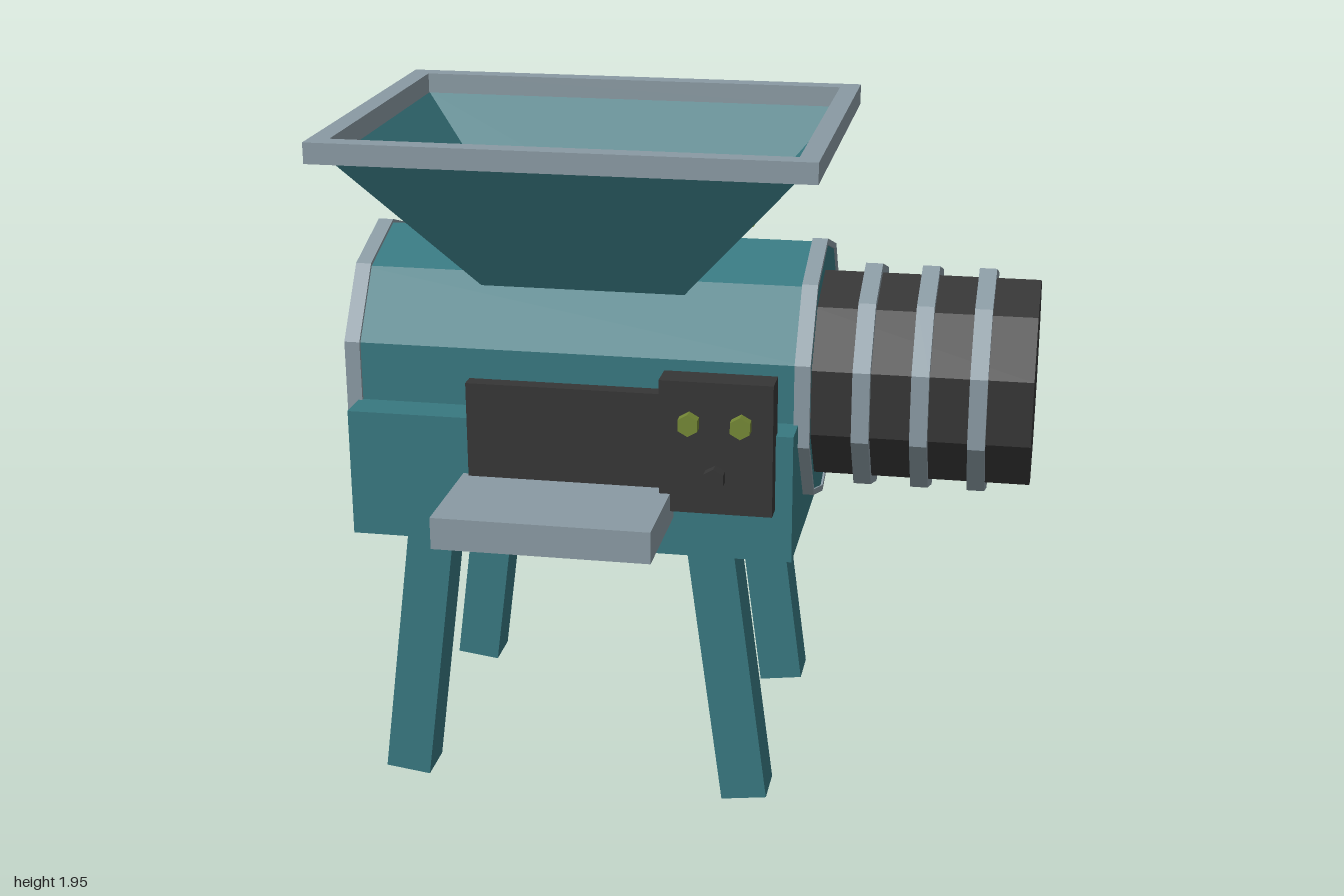
import * as THREE from 'three';

const teal = new THREE.MeshStandardMaterial({ name: 'teal paint', color: 0x387880 });
const tealSheet = new THREE.MeshStandardMaterial({ name: 'teal sheet', color: 0x387880, side: THREE.DoubleSide });
const steel = new THREE.MeshStandardMaterial({ name: 'grey steel', color: 0x8a9aa3 });
const dark = new THREE.MeshStandardMaterial({ name: 'dark metal', color: 0x363636 });
const olive = new THREE.MeshStandardMaterial({ name: 'olive', color: 0x748735 });
for (const m of [teal, tealSheet, steel, dark, olive]) m.flatShading = true;

const CX = -0.293, CZ = -0.139; // centre of hopper, drum and stand

export function createModel() {
  const model = new THREE.Group();
  const add = (name, geometry, material, x = 0, y = 0, z = 0) => {
    const mesh = new THREE.Mesh(geometry, material);
    mesh.name = name;
    mesh.position.set(x, y, z);
    model.add(mesh);
    return mesh;
  };

  // Box given by its extents on each axis
  const box = (name, material, [x0, x1], [y0, y1], [z0, z1]) =>
    add(name, new THREE.BoxGeometry(x1 - x0, y1 - y0, z1 - z0), material,
      (x0 + x1) / 2, (y0 + y1) / 2, (z0 + z1) / 2);

  // Ten-sided cylinder lying along x, with a corner at the top
  const barrel = (name, material, r, x0, x1, y) => {
    const g = new THREE.CylinderGeometry(r, r, x1 - x0, 10);
    g.rotateY(Math.PI / 2).rotateZ(Math.PI / 2);
    return add(name, g, material, (x0 + x1) / 2, y, CZ);
  };

  // Drum with a thin hoop at each end
  barrel('drum', teal, 0.382, -0.965, 0.377, 1.206);
  const decagon = r => Array.from({ length: 10 }, (_, i) => {
    const a = Math.PI / 2 + i * Math.PI / 5;
    return new THREE.Vector2(r * Math.cos(a), r * Math.sin(a));
  });
  const hoop = new THREE.Shape(decagon(0.392));
  hoop.holes.push(new THREE.Path(decagon(0.374)));
  const hoopGeometry = new THREE.ExtrudeGeometry(hoop, { depth: 0.045, bevelEnabled: false });
  hoopGeometry.rotateY(Math.PI / 2);
  for (const x of [-0.97, 0.338]) add('drumHoop', hoopGeometry, steel, x, 1.206, CZ);

  // Motor with three bands
  barrel('motor', dark, 0.31, 0.36, 1, 1.194);
  for (const x of [0.52, 0.685, 0.848]) barrel('motorBand', steel, 0.337, x - 0.025, x + 0.025, 1.194);

  // Stand: body box and four splayed legs
  box('body', teal, [-0.937, 0.351], [0.776, 1.152], [-0.612, 0.335]);
  for (const side of [-1, 1]) {
    for (const z of [0.268, -0.545]) {
      const leg = add('leg', new THREE.BoxGeometry(0.134, 0.85, 0.134), teal, CX + side * 0.459, 0.43, z);
      leg.rotation.z = side * 0.13;
    }
  }

  // Hopper: open box narrowing downwards
  const hopper = new THREE.BoxGeometry(2, 0.414, 2);
  const p = hopper.attributes.position;
  for (let i = 0; i < p.count; i++) {
    const top = p.getY(i) > 0;
    p.setX(i, p.getX(i) * (top ? 0.65 : 0.29));
    p.setZ(i, p.getZ(i) * (top ? 0.488 : 0.245));
  }
  const index = Array.from(hopper.index.array);
  hopper.setIndex([...index.slice(0, 12), ...index.slice(24)]); // drop top and bottom
  hopper.clearGroups();
  hopper.computeVertexNormals();
  add('hopper', hopper, tealSheet, CX, 1.679, CZ);

  // Hopper rim frame
  const rect = (Type, w, d) => new Type([[-w, -d], [w, -d], [w, d], [-w, d]].map(c => new THREE.Vector2(...c)));
  const frame = rect(THREE.Shape, 0.707, 0.54);
  frame.holes.push(rect(THREE.Path, 0.649, 0.482));
  const rim = new THREE.ExtrudeGeometry(frame, { depth: 0.06, bevelEnabled: false });
  rim.rotateX(-Math.PI / 2);
  add('hopperRim', rim, steel, CX, 1.885, CZ);

  // Material filling the hopper
  const fill = new THREE.PlaneGeometry(1.026, 0.773);
  fill.rotateX(-Math.PI / 2);
  add('hopperFill', fill, olive, CX, 1.723, CZ - 0.003);

  // Outlet panel, tray and control box
  box('outletPanel', dark, [-0.58, 0], [0.94, 1.263], [0.306, 0.352]);
  box('tray', steel, [-0.6, 0.013], [0.892, 0.984], [0.3, 0.682]);
  box('controlBox', dark, [-0.018, 0.302], [0.932, 1.318], [0.306, 0.393]);

  // Six-sided buttons
  for (const [x, y, material] of [[0.068, 1.2, olive], [0.214, 1.2, olive], [0.141, 1.045, dark]]) {
    const button = new THREE.CylinderGeometry(0.032, 0.032, 0.04, 6);
    button.rotateX(Math.PI / 2);
    add('button', button, material, x, y, 0.405);
  }
  return model;
}
